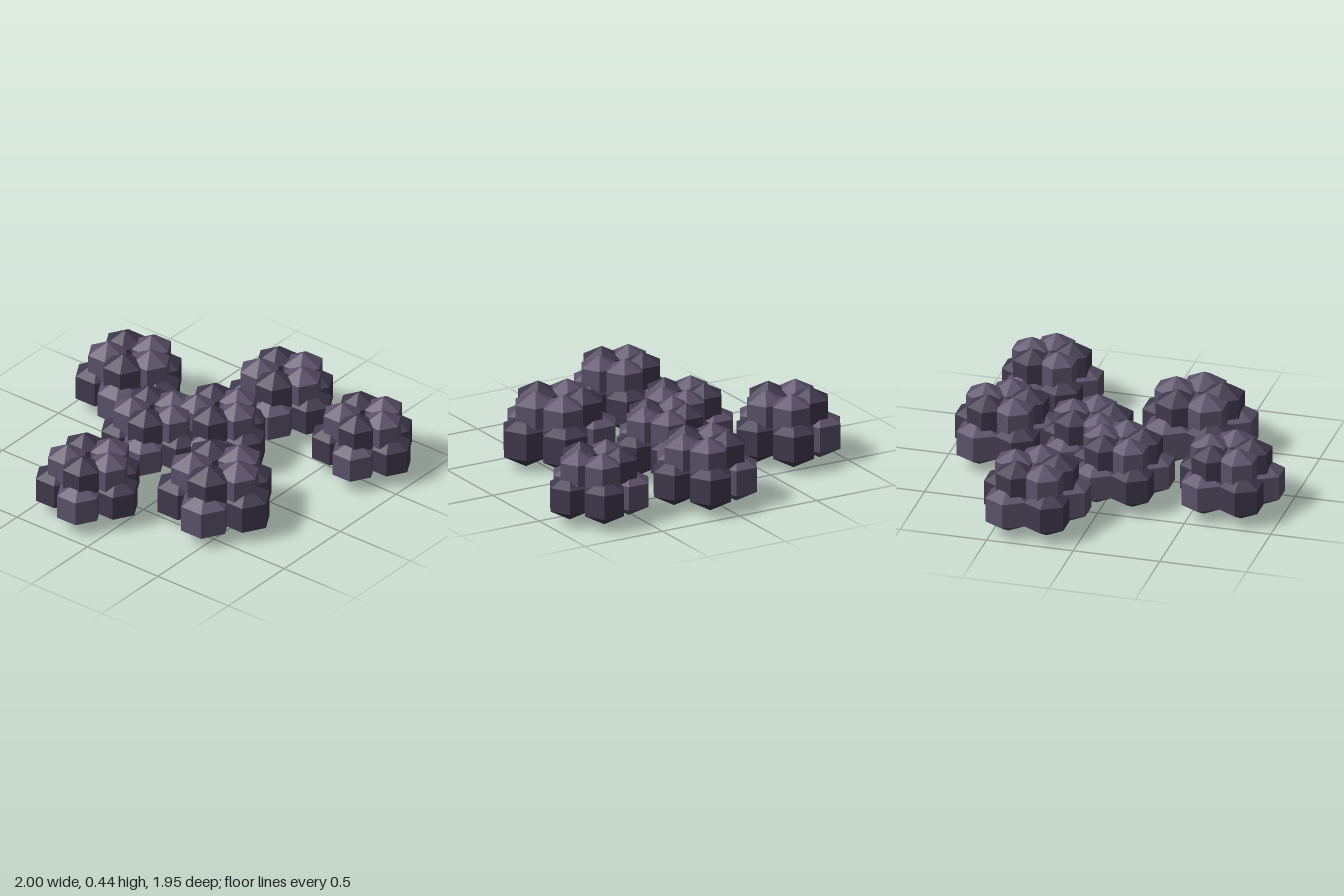
import * as THREE from 'three';

export function createModel() {
  const model = new THREE.Group();
  model.name = 'blobClusters';

  const dark = new THREE.MeshStandardMaterial({ color: 0x40384d, flatShading: true });
  dark.name = 'dark plum';
  const light = new THREE.MeshStandardMaterial({ color: 0x5a5068, flatShading: true });
  light.name = 'grey plum';
  const tones = [dark, light];

  // Hexagonal barrel with pointed caps, unit hexagon radius
  const lobeShape = new THREE.SphereGeometry(1 / Math.sin(Math.PI / 3), 6, 3);
  lobeShape.scale(1, 0.95, 1);

  // Ring of five lobes in alternating tones
  function addRing(cluster, name, size, spread, y, firstTone) {
    for (let i = 0; i < 5; i++) {
      const a = (i / 5) * Math.PI * 2;
      const lobe = new THREE.Mesh(lobeShape, tones[(i + firstTone) % 2]);
      lobe.name = name;
      lobe.scale.setScalar(size);
      lobe.position.set(Math.cos(a) * spread, y, Math.sin(a) * spread);
      cluster.add(lobe);
    }
  }

  // Cluster centres and lobe sizes: x, z, size
  const clusters = [
    [-0.72, -0.30, 0.132],
    [0.05, -0.687, 0.131],
    [0.689, -0.61, 0.125],
    [0, -0.176, 0.125],
    [-0.265, 0.07, 0.125],
    [0.388, 0.326, 0.142],
    [-0.229, 0.686, 0.129],
  ];
  for (const [x, z, size] of clusters) {
    const cluster = new THREE.Group();
    cluster.name = 'cluster';
    cluster.position.set(x, 0, z);
    addRing(cluster, 'lowerLobe', size, size * 1.42, 0.161, 0);
    addRing(cluster, 'upperLobe', size * 0.885, size * 1.0, 0.303, 1);
    model.add(cluster);
  }
  return model;
}
